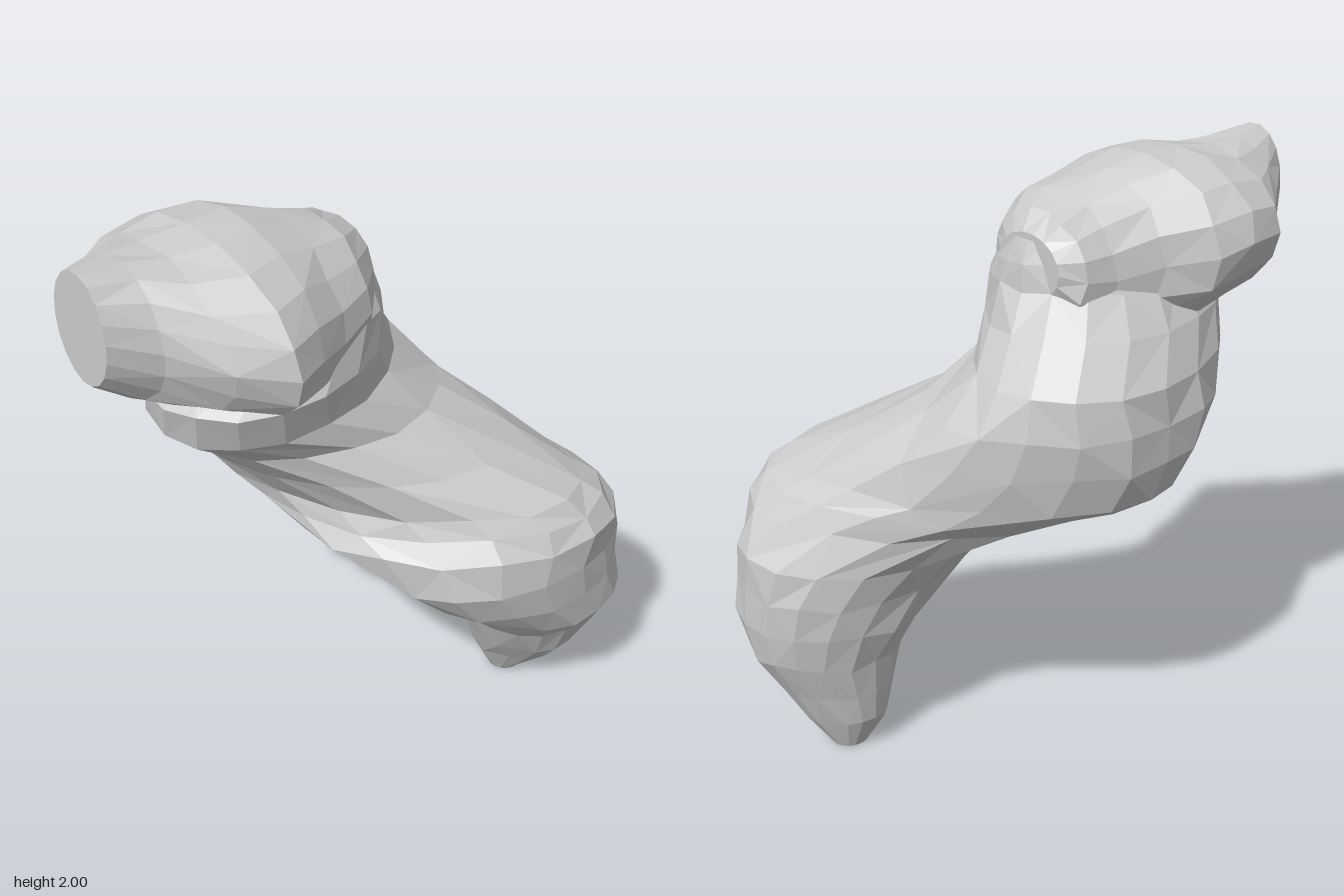
import * as THREE from 'three';

// Each slice: position along the axis, x min, x max, v min, v max, lean (how far the oval runs diagonally)

// Body and tail, from the tip upwards; v is z
const BODY = [
  [0.00, 0.15, 0.27, -0.60, -0.47, 0],
  [0.12, 0.09, 0.38, -0.67, -0.41, -0.2],
  [0.24, 0.075, 0.47, -0.73, -0.36, -0.15],
  [0.37, 0.06, 0.53, -0.80, -0.30, -0.1],
  [0.50, 0.01, 0.61, -0.82, -0.20, -0.08],
  [0.63, -0.03, 0.61, -0.82, -0.03, -0.05],
  [0.76, -0.09, 0.61, -0.81, 0.10, -0.12],
  [0.89, -0.30, 0.62, -0.73, 0.22, -0.38],
  [0.96, -0.48, 0.58, -0.67, 0.25, -0.48],
  [1.02, -0.60, 0.53, -0.61, 0.28, -0.5],
  [1.15, -0.65, 0.33, -0.50, 0.38, -0.33],
  [1.28, -0.65, 0.14, -0.41, 0.50, -0.1],
  [1.41, -0.62, 0.10, -0.32, 0.63, 0.18],
  [1.54, -0.55, 0.13, -0.22, 0.66, 0.15],
  [1.66, -0.47, 0.08, -0.16, 0.50, 0],
  [1.73, -0.42, 0.02, -0.15, 0.45, 0],
  [1.80, -0.36, -0.07, -0.13, 0.35, 0],
];

// Head, from the flat open end backwards; v is y
const HEAD = [
  [0.83, -0.39, -0.15, 1.64, 2.00, 0],
  [0.70, -0.49, -0.07, 1.55, 1.99, 0],
  [0.57, -0.60, 0.08, 1.50, 1.98, -0.1],
  [0.43, -0.62, 0.19, 1.45, 2.00, -0.15],
  [0.30, -0.60, 0.15, 1.42, 2.00, -0.1],
  [0.17, -0.50, 0.10, 1.42, 1.96, -0.1],
  [0.03, -0.44, 0.06, 1.46, 1.92, 0],
  [-0.07, -0.42, -0.03, 1.52, 1.88, 0],
  [-0.12, -0.36, -0.10, 1.62, 1.82, 0],
];
const SIDES = 18;

// Small repeatable offsets that give the facets their uneven look
function seeded(seed) {
  return () => {
    seed = (seed * 16807) % 2147483647;
    return seed / 2147483647 - 0.5;
  };
}

// Closed skin over a row of oval slices; place(x, along, v) turns a slice point into [x, y, z]
function loft(slices, place, seed) {
  const rand = seeded(seed);
  const pos = [];
  const index = [];
  const last = slices.length - 1;

  // Rings of points
  slices.forEach(([along, x0, x1, v0, v1, lean], i) => {
    const shift = Math.asin(lean);
    const jitter = i > 0 && i < last ? 1 : 0;
    for (let j = 0; j < SIDES; j++) {
      const t = (j / SIDES) * Math.PI * 2;
      const k = 1.01 + rand() * 0.025 * jitter;
      const x = (x0 + x1) / 2 + ((x1 - x0) / 2) * Math.cos(t) * k;
      const v = (v0 + v1) / 2 + ((v1 - v0) / 2) * Math.sin(t + shift) * k;
      pos.push(...place(x, along + rand() * 0.025 * jitter, v));
    }
  });

  // Skin between rings, with alternating diagonals
  for (let i = 0; i < last; i++) {
    for (let j = 0; j < SIDES; j++) {
      const a = i * SIDES + j, c = i * SIDES + ((j + 1) % SIDES);
      const b = a + SIDES, d = c + SIDES;
      if ((i + j) % 2) index.push(a, b, c, b, d, c);
      else index.push(a, b, d, a, d, c);
    }
  }

  // Flat closing fans at both ends
  for (const i of [0, last]) {
    const [along, x0, x1, v0, v1] = slices[i];
    const centre = pos.length / 3;
    pos.push(...place((x0 + x1) / 2, along, (v0 + v1) / 2));
    for (let j = 0; j < SIDES; j++) {
      const a = i * SIDES + j, b = i * SIDES + ((j + 1) % SIDES);
      if (i === 0) index.push(centre, a, b);
      else index.push(centre, b, a);
    }
  }

  const geo = new THREE.BufferGeometry();
  geo.setAttribute('position', new THREE.Float32BufferAttribute(pos, 3));
  geo.setIndex(index);
  geo.computeVertexNormals();
  return geo;
}

export function createModel() {
  const group = new THREE.Group();
  group.name = 'facetedBlob';
  const material = new THREE.MeshStandardMaterial({ color: 0xcccccc, flatShading: true });

  // Body with tail, its side bulge cut flat
  const body = new THREE.Mesh(loft(BODY, (x, y, z) => [Math.max(x, -0.63), y, z], 41), material);
  body.name = 'body';

  // Head reaching forward to its flat end
  const head = new THREE.Mesh(loft(HEAD, (x, z, y) => [x, Math.min(y, 2), z], 97), material);
  head.name = 'head';

  group.add(body, head);
  return group;
}
